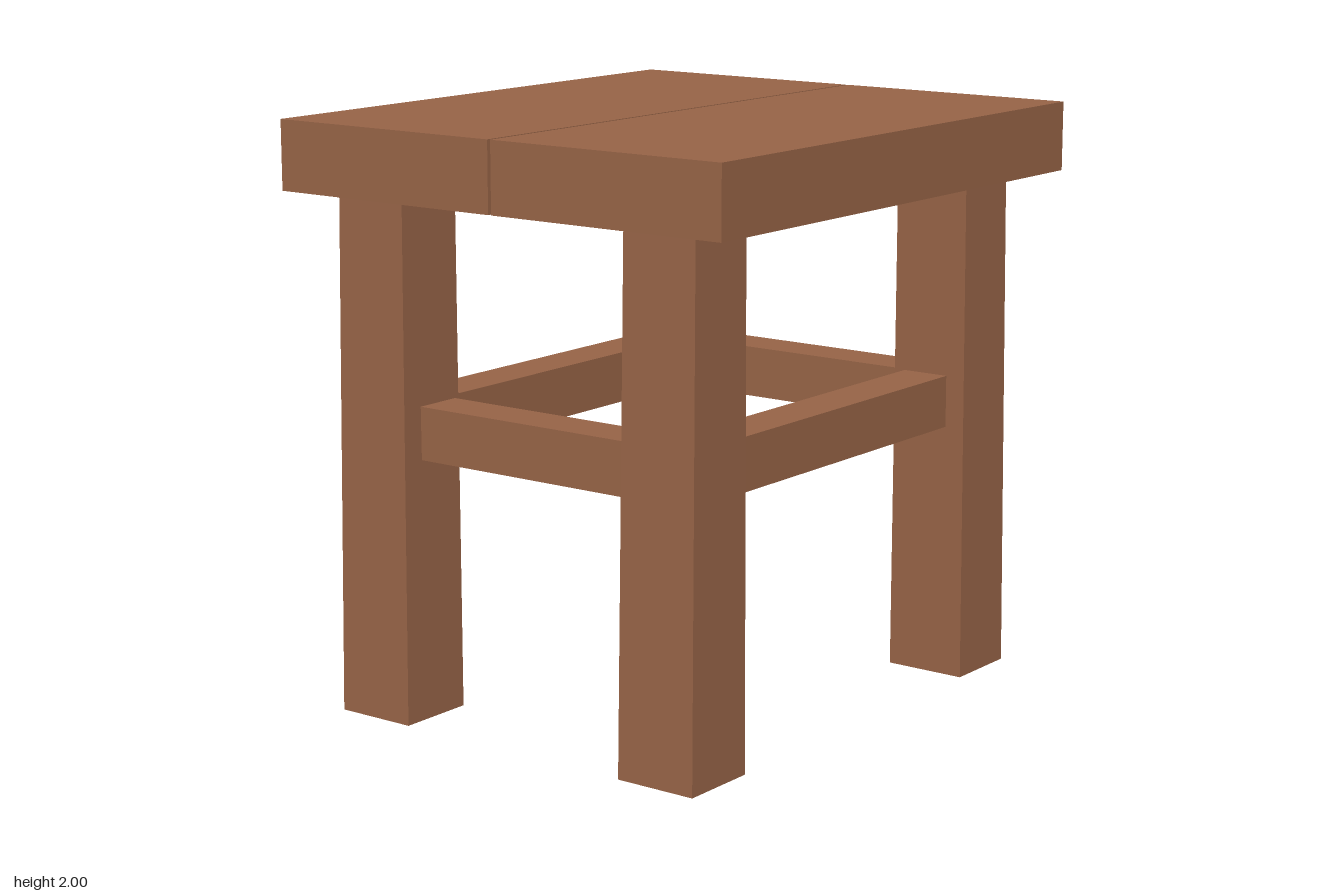
import * as THREE from 'three';

export function createModel() {
  const group = new THREE.Group();
  group.name = 'stool';
  const wood = new THREE.MeshStandardMaterial({ color: 0x966346 });
  wood.name = 'brown wood';

  const addBox = (name, size, pos) => {
    const mesh = new THREE.Mesh(new THREE.BoxGeometry(...size), wood);
    mesh.position.set(...pos);
    mesh.name = name;
    group.add(mesh);
  };

  // Tapered leg: a box whose vertices are moved to the top or foot outline
  const legHeight = 1.765;
  const foot = { x: [0.643, 0.921], z: [0.444, 0.736] };
  const head = { x: [0.635, 0.894], z: [0.453, 0.727] };
  const legGeometry = (sx, sz) => {
    const geo = new THREE.BoxGeometry(1, 1, 1);
    const p = geo.attributes.position;
    for (let i = 0; i < p.count; i++) {
      const end = p.getY(i) > 0 ? head : foot;
      const x = end.x[p.getX(i) * sx > 0 ? 1 : 0] * sx;
      const z = end.z[p.getZ(i) * sz > 0 ? 1 : 0] * sz;
      p.setXYZ(i, x, p.getY(i) > 0 ? legHeight : 0, z);
    }
    geo.computeVertexNormals();
    return geo;
  };

  for (const s of [1, -1]) {
    const end = s > 0 ? 'front' : 'back';
    const side = s > 0 ? 'left' : 'right';

    // Seat planks with a narrow gap between them
    addBox(`${end}SeatPlank`, [1.976, 0.236, 0.886], [0, 1.882, s * 0.449]);

    // Rungs let a little way into the legs
    addBox(`${end}Rung`, [1.32, 0.18, 0.17], [0, 0.98, s * 0.575]);
    addBox(`${side}Rung`, [0.17, 0.18, 0.94], [s * 0.74, 0.98, 0]);

    for (const sx of [1, -1]) {
      const leg = new THREE.Mesh(legGeometry(sx, s), wood);
      leg.name = `${end}${sx > 0 ? 'Left' : 'Right'}Leg`;
      group.add(leg);
    }
  }
  return group;
}
